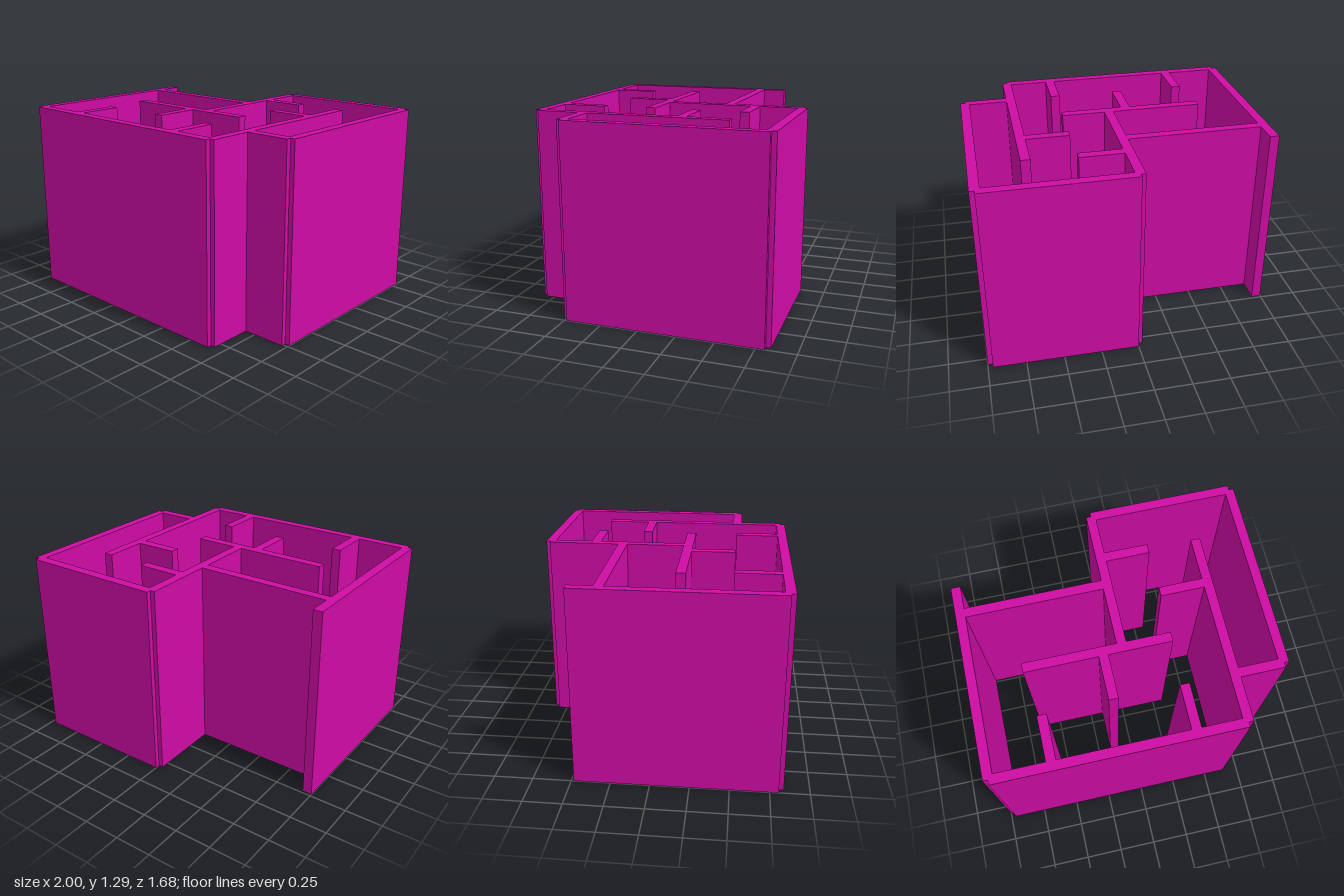
import * as THREE from 'three';

const HEIGHT = 1.29;
const THICK = 0.0635;

// Each wall follows a centre line on the floor plan: [name, x1, z1, x2, z2]
const WALLS = [
  // outer shell
  ['leftEndWall', -0.968, -0.484, -0.968, 0.806],
  ['frontWall', -0.968, 0.806, 0.645, 0.806],
  ['innerSideWall', 0.645, -0.484, 0.645, 0.806],
  ['frontStepWall', 0.645, 0.484, 0.968, 0.484],
  ['outerSideWall', 0.968, -0.806, 0.968, 0.484],
  ['backWall', 0, -0.806, 0.968, -0.806],
  ['spineWall', 0, -0.806, 0, 0.161],
  ['recessedBackWall', -0.968, -0.294, 0, -0.294],
  // room partitions
  ['backPartition', 0, -0.487, 0.323, -0.487],
  ['sidePartition', 0.323, -0.163, 0.645, -0.163],
  ['crossPartition', -0.645, 0.158, 0.323, 0.158],
  ['centreStub', -0.129, 0.158, -0.129, 0.482],
  ['frontStubA', -0.581, 0.482, -0.581, 0.806],
  ['frontStubB', 0.323, 0.482, 0.323, 0.806],
];

export function createModel() {
  const group = new THREE.Group();
  group.name = 'floorPlanWalls';
  const material = new THREE.MeshStandardMaterial({ color: 0xcc0ca3 });

  for (const [name, x1, z1, x2, z2] of WALLS) {
    const alongX = z1 === z2;
    const length = alongX ? x2 - x1 : z2 - z1;
    const geometry = new THREE.BoxGeometry(
      alongX ? length : THICK, HEIGHT, alongX ? THICK : length);
    const wall = new THREE.Mesh(geometry, material);
    wall.name = name;
    wall.position.set((x1 + x2) / 2, HEIGHT / 2, (z1 + z2) / 2);
    group.add(wall);
  }
  return group;
}
